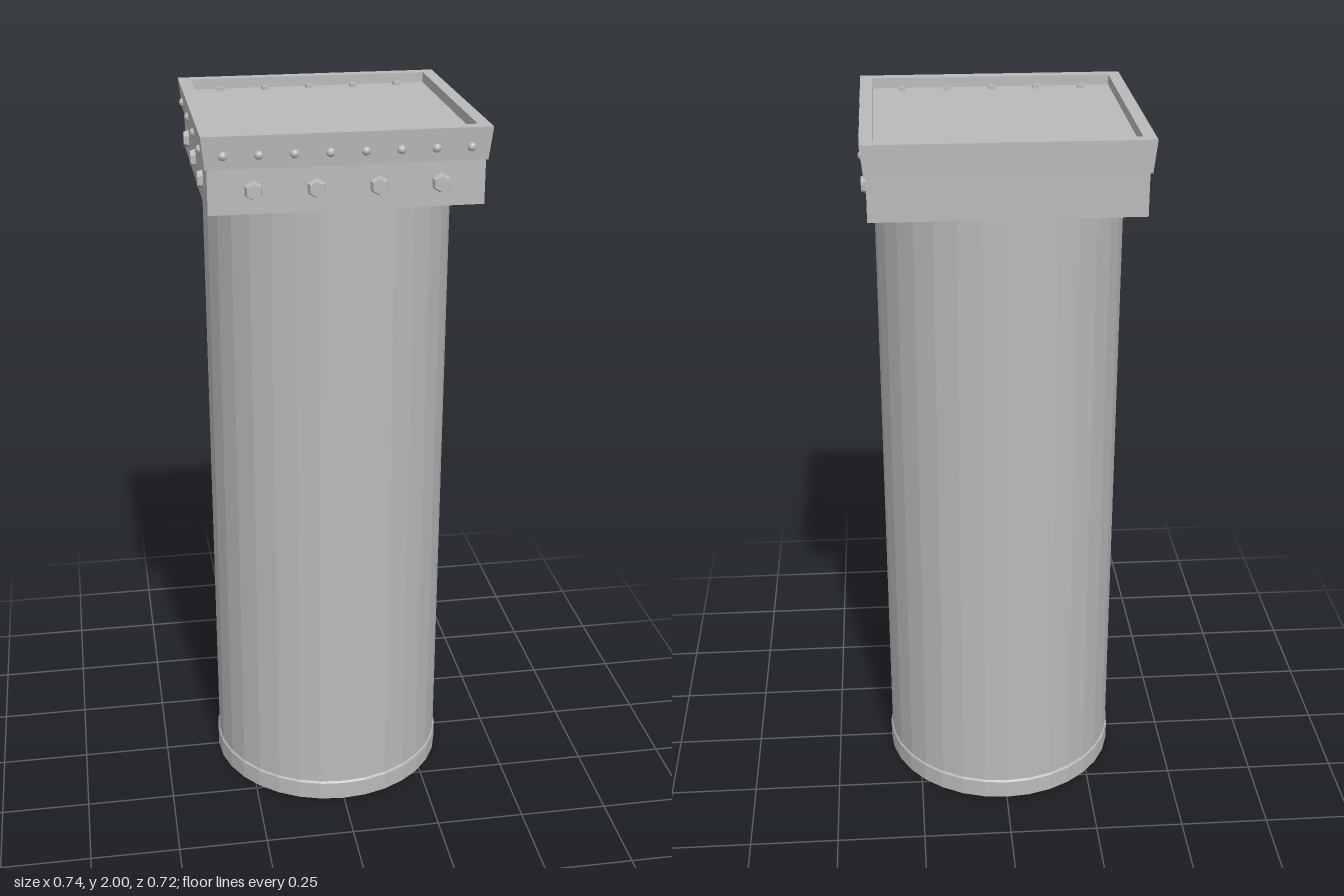
import * as THREE from 'three';

// Loft through rectangular loops: each is [halfWidth, frontZ, backZ, y]
function loftRects(loops) {
  const pos = [];
  const corners = ([w, f, b, y]) => [[-w, y, f], [w, y, f], [w, y, b], [-w, y, b]];
  for (let i = 0; i < loops.length - 1; i++) {
    const lo = corners(loops[i]), hi = corners(loops[i + 1]);
    for (let k = 0; k < 4; k++) {
      const n = (k + 1) % 4;
      pos.push(...lo[k], ...lo[n], ...hi[n], ...lo[k], ...hi[n], ...hi[k]);
    }
  }
  const geo = new THREE.BufferGeometry();
  geo.setAttribute('position', new THREE.Float32BufferAttribute(pos, 3));
  geo.computeVertexNormals();
  return geo;
}

export function createModel() {
  const model = new THREE.Group();
  model.name = 'pillar';
  const grey = new THREE.MeshStandardMaterial({ color: 0xbababa, flatShading: true });
  grey.name = 'grey metal';

  const add = (name, geo, x = 0, y = 0, z = 0) => {
    const mesh = new THREE.Mesh(geo, grey);
    mesh.name = name;
    mesh.position.set(x, y, z);
    model.add(mesh);
    return mesh;
  };

  // Round shaft and the slightly wider foot with its bevelled top
  add('shaft', new THREE.CylinderGeometry(0.335, 0.335, 1.8, 32, 1, true), 0, 0.901, 0);
  add('footRing', new THREE.LatheGeometry([
    new THREE.Vector2(0, 0), new THREE.Vector2(0.339, 0),
    new THREE.Vector2(0.339, 0.053), new THREE.Vector2(0.334, 0.06),
  ], 32));

  // Square cap: lower block, flared band, rim and recessed top
  add('cap', loftRects([
    [0, 0, 0, 1.8],
    [0.351, 0.344, -0.344, 1.8],
    [0.351, 0.344, -0.344, 1.915],
    [0.356, 0.348, -0.356, 1.915],
    [0.365, 0.356, -0.358, 2],
    [0.332, 0.321, -0.325, 2],
    [0.332, 0.321, -0.325, 1.972],
    [0, 0, 0, 1.972],
  ]));

  // Small square studs along two sides of the recess
  const stud = new THREE.BoxGeometry(0.018, 0.012, 0.016);
  for (const z of [-0.298, 0.293])
    for (let i = -2; i <= 2; i++) add('topStud', stud, i * 0.125, 1.976, z);

  // Hex bolts and rivets, built pointing along +z
  const bolt = new THREE.CylinderGeometry(0.02, 0.026, 0.018, 6).rotateX(Math.PI / 2);
  const rivet = new THREE.SphereGeometry(0.012, 10, 4, 0, Math.PI * 2, 0, Math.PI / 2)
    .rotateX(Math.PI / 2);

  // Front fasteners
  for (let i = 0; i < 4; i++) add('frontBolt', bolt, (i - 1.5) * 0.158, 1.86, 0.351);
  for (let i = 0; i < 8; i++) add('frontRivet', rivet, (i - 3.5) * 0.089, 1.95, 0.35);

  // Side fasteners, mirrored; the back stays plain
  for (const s of [-1, 1]) {
    for (let i = -1; i <= 1; i++)
      add('sideBolt', bolt, s * 0.356, 1.86, i * 0.215).rotation.y = s * Math.PI / 2;
    for (let i = 0; i < 4; i++)
      add('sideRivet', rivet, s * 0.358, 1.95, (i - 1.5) * 0.179).rotation.y = s * Math.PI / 2;
  }
  return model;
}
